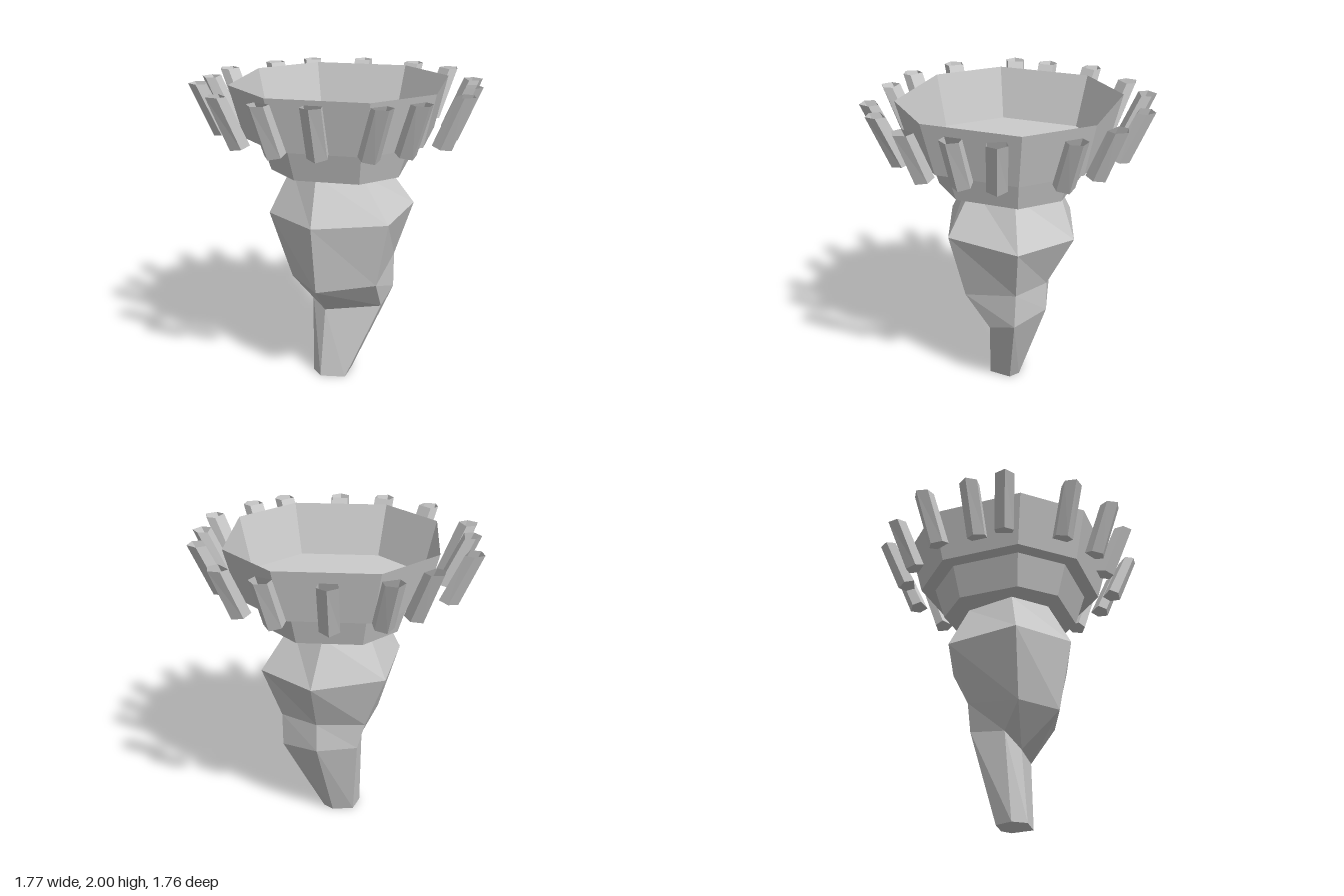
import * as THREE from 'three';

const material = new THREE.MeshStandardMaterial({ color: 0xcccccc, flatShading: true, side: THREE.DoubleSide });

// Skin a stack of rings (bottom to top, each a list of [x, y, z]) and close the bottom
function loft(name, rings) {
  const pos = [];
  const tri = (...pts) => pts.forEach((p) => pos.push(...p));
  const n = rings[0].length;
  for (let r = 0; r < rings.length - 1; r++) {
    const a = rings[r], b = rings[r + 1];
    for (let i = 0; i < n; i++) {
      const j = (i + 1) % n;
      tri(a[i], b[i], b[j]);
      tri(a[i], b[j], a[j]);
    }
  }
  for (let i = 1; i < n - 1; i++) tri(rings[0][0], rings[0][i], rings[0][i + 1]);
  const geometry = new THREE.BufferGeometry();
  geometry.setAttribute('position', new THREE.Float32BufferAttribute(pos, 3));
  geometry.computeVertexNormals();
  const mesh = new THREE.Mesh(geometry, material);
  mesh.name = name;
  return mesh;
}

// Octagon with half width h and corners at c along each straight side
function octagon(y, h, c) {
  return [[h, -c], [h, c], [c, h], [-c, h], [-h, c], [-h, -c], [-c, -h], [c, -h]]
    .map(([x, z]) => [x + 0.005, y, z + 0.01]);
}

// Open five-sided tube leaning outward along the given angle
const prongSection = [[0.055, 0], [0.012, 0.06], [-0.05, 0.052], [-0.05, -0.052], [0.012, -0.06]];
function prong(x, z, angle) {
  const c = Math.cos(angle), s = Math.sin(angle);
  const ring = (shift, yAt) => prongSection.map(([u, v]) =>
    [x + (u + shift) * c - v * s, yAt(u), z + (u + shift) * s + v * c]);
  return loft('prong', [ring(-0.07, (u) => 1.685 - u * 0.28), ring(0.07, () => 2)]);
}

export function createModel() {
  const model = new THREE.Group();

  // Crooked six-sided stem, tapering to a foot
  model.add(loft('stem', [
    [[0.06, 0, 0.14], [-0.105, 0, 0.16], [-0.17, 0, 0.08], [-0.13, 0, -0.035], [0.01, 0, -0.055], [0.075, 0, -0.01]],
    [[0.285, 0.515, 0.05], [-0.08, 0.48, 0.115], [-0.18, 0.58, 0.04], [-0.16, 0.61, -0.2], [0.1, 0.62, -0.275], [0.335, 0.585, -0.14]],
    [[0.28, 0.73, 0.22], [-0.08, 0.71, 0.37], [-0.285, 0.73, 0.17], [-0.21, 0.79, -0.2], [0.1, 0.82, -0.275], [0.335, 0.82, -0.15]],
    [[0.365, 1.17, 0.29], [-0.085, 1.17, 0.46], [-0.42, 1.17, 0.205], [-0.335, 1.17, -0.29], [0.115, 1.17, -0.455], [0.45, 1.17, -0.205]],
    [[0.17, 1.46, 0.2], [-0.085, 1.46, 0.31], [-0.29, 1.46, 0.13], [-0.22, 1.46, -0.2], [0.05, 1.46, -0.33], [0.26, 1.46, -0.115]],
  ]));

  // Collar under the bowl, and the thin-walled open bowl
  model.add(loft('collar', [octagon(1.46, 0.403, 0.2), octagon(1.67, 0.465, 0.225)]));
  model.add(loft('bowl', [octagon(1.67, 0.555, 0.26), octagon(2, 0.63, 0.305)]));

  // Sixteen unevenly set prongs around the bowl, starting at +x and turning toward +z
  const prongs = new THREE.Group();
  prongs.name = 'prongs';
  const spots = [
    [0.756, 0.047], [0.746, 0.318], [0.55, 0.57], [0.36, 0.71],
    [0.02, 0.755], [-0.26, 0.755], [-0.54, 0.6], [-0.765, 0.26],
    [-0.763, 0.047], [-0.765, -0.246], [-0.55, -0.53], [-0.345, -0.69],
    [-0.02, -0.757], [0.325, -0.7], [0.565, -0.555], [0.74, -0.19],
  ];
  spots.forEach(([x, z], i) => {
    const angle = i === 3 ? 0.85 : i * Math.PI / 8;
    prongs.add(prong(x, z, angle));
  });
  model.add(prongs);
  return model;
}
